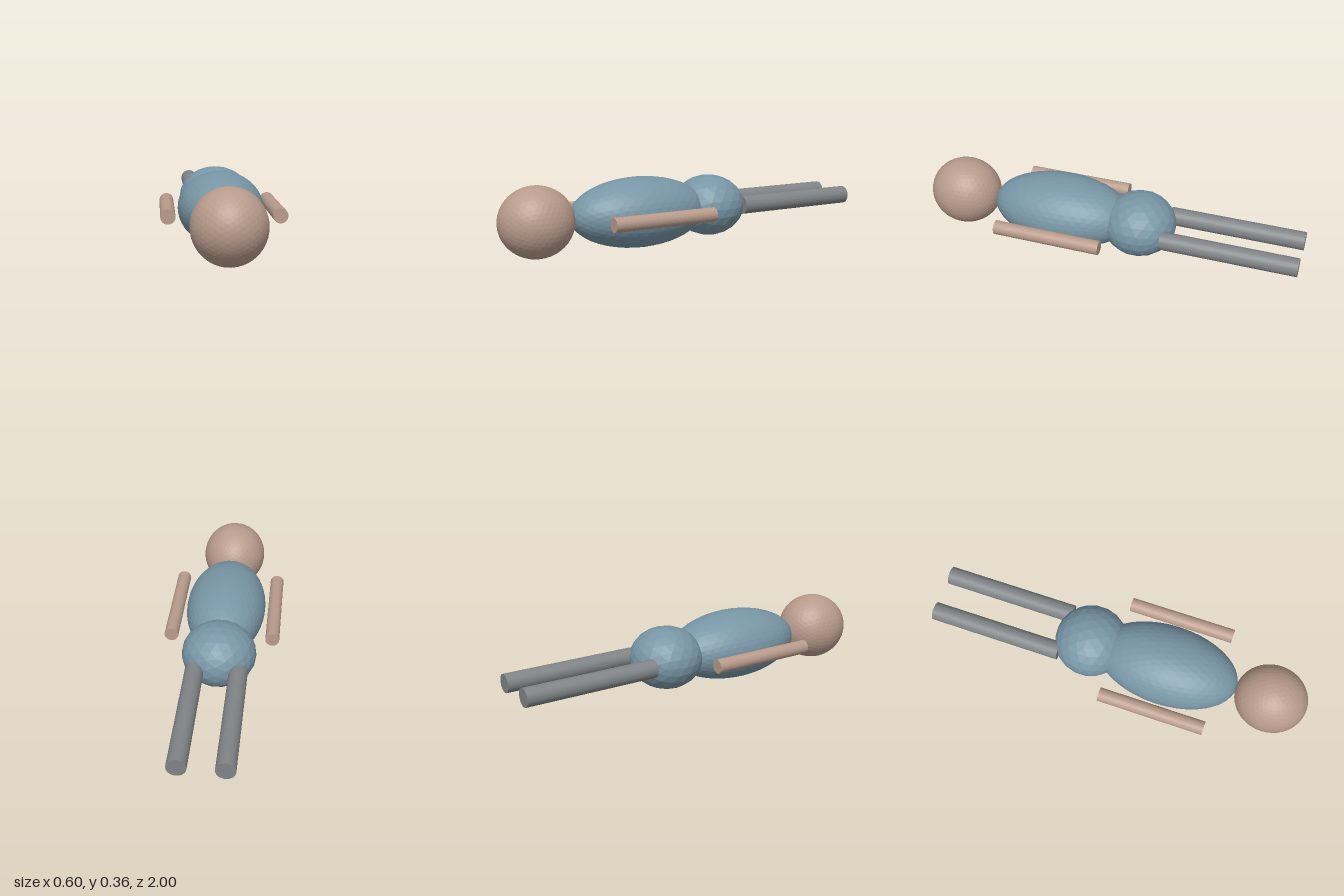
import * as THREE from 'three';

export function createModel() {
  const root = new THREE.Group();
  root.name = 'lyingFigure';

  const material = (name, color) => {
    const m = new THREE.MeshStandardMaterial({ color, flatShading: true });
    m.name = name;
    return m;
  };
  const skin = material('skin', 0xb89b8c);
  const cloth = material('blueCloth', 0x7896a6);
  const trousers = material('greyTrousers', 0x808486);

  const midY = 0.179; // every part lies along this height

  const add = (name, geometry, mat, x, z) => {
    const mesh = new THREE.Mesh(geometry, mat);
    mesh.name = name;
    mesh.position.set(x, midY, z);
    root.add(mesh);
  };

  // Faceted ellipsoid with radii rx, ry, rz
  const ellipsoid = (rx, ry, rz, detail) =>
    new THREE.IcosahedronGeometry(1, detail).scale(rx, ry, rz);

  // Rod lying along z
  const rod = (radius, length) =>
    new THREE.CylinderGeometry(radius, radius, length, 32).rotateX(Math.PI / 2);

  // Head, torso and hips in a line
  add('head', ellipsoid(0.174, 0.177, 0.188, 7), skin, 0, 0.812);
  add('torso', ellipsoid(0.211, 0.179, 0.375, 7), cloth, 0, 0.255);
  add('hips', ellipsoid(0.19, 0.16, 0.19, 3), cloth, 0, -0.163);

  // Arms beside the torso, legs behind the hips
  for (const [side, s] of [['left', 1], ['right', -1]]) {
    add(side + 'Arm', rod(0.036, 0.56), skin, s * 0.263, 0.252);
    add(side + 'Leg', rod(0.047, 0.696), trousers, s * 0.109, -0.652);
  }

  return root;
}
